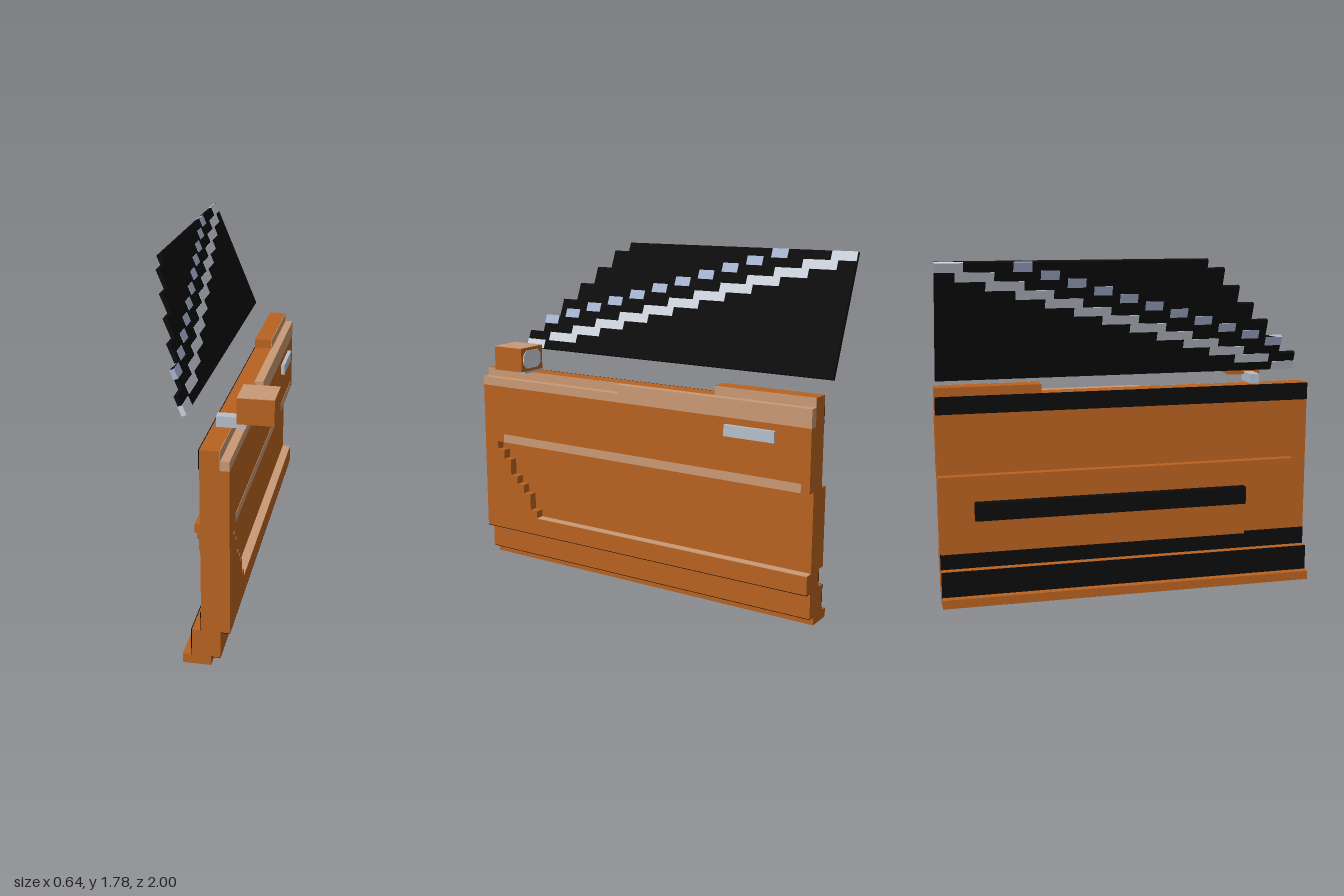
import * as THREE from 'three';

const mat = (name, color, extra = {}) => Object.assign(new THREE.MeshStandardMaterial({ color, ...extra }), { name });

export function createModel() {
  const orange = mat('orangePaint', 0xb86220);
  const pale = mat('paleHighlight', 0xc99a75);
  const black = mat('blackTrim', 0x0c0c0c);
  const silver = mat('silver', 0xb5bec9);
  const streak = mat('glassStreak', 0xccd3dd);
  const blue = mat('glassGlint', 0xa8b5d3);

  const door = new THREE.Group();
  door.name = 'carDoor';

  // Box given by its limits on each axis
  const box = (name, m, x0, x1, y0, y1, z0, z1, parent = door) => {
    const mesh = new THREE.Mesh(new THREE.BoxGeometry(x1 - x0, y1 - y0, z1 - z0), m);
    mesh.position.set((x0 + x1) / 2, (y0 + y1) / 2, (z0 + z1) / 2);
    mesh.name = name;
    parent.add(mesh);
    return mesh;
  };
  // Slab with a [z, y] outline, running from x0 to x1
  const slab = (name, m, outline, x0, x1, parent = door) => {
    const shape = new THREE.Shape(outline.map(([z, y]) => new THREE.Vector2(-z, y)));
    const geo = new THREE.ExtrudeGeometry(shape, { depth: x1 - x0, bevelEnabled: false });
    geo.rotateY(Math.PI / 2).translate(x0, 0, 0);
    const mesh = new THREE.Mesh(geo, m);
    mesh.name = name;
    parent.add(mesh);
    return mesh;
  };

  // Stepped front edge shared by the outer recess and the inner bulge
  const levels = [0.685, 0.64, 0.59, 0.5, 0.457, 0.41, 0.32, 0.277];
  const steps = [];
  for (let i = 0; i < 7; i++) {
    const z = 0.91 - i * 0.045;
    steps.push([z, levels[i]], [z, levels[i + 1]]);
  }

  // Door body: core, outer skin with open-ended recess, inner bulge
  box('doorCore', orange, 0.025, 0.115, 0.183, 1.092, -1, 1);
  slab('outerSkin', orange,
    [[-1, 1], [1, 1], [1, 0.183], [-1, 0.183], [-1, 0.277], ...steps.slice().reverse(), [-1, 0.685]],
    0.115, 0.16);
  slab('innerBulge', orange, [[-1, 0.685], ...steps, [-1, 0.277]], -0.02, 0.025);

  // Stepped sill
  box('upperSill', orange, -0.02, 0.115, 0.047, 0.183, -1, 1);
  box('lowerSill', orange, -0.065, 0.07, 0, 0.047, -1, 1);
  box('rearTopBlock', orange, 0.025, 0.115, 1.092, 1.138, -1, -0.457);

  // Pale shoulder and highlights
  box('frontShoulder', pale, 0.115, 0.16, 1, 1.046, 0.09, 1);
  box('rearShoulder', pale, 0.115, 0.16, 1, 1.092, -1, 0.09);
  box('shoulderFace', pale, 0.115, 0.118, 1.046, 1.092, 0.09, 1);
  box('rearTopFace', pale, 0.115, 0.118, 1.092, 1.138, -1, -0.457);
  box('beltHighlight', pale, 0.16, 0.162, 0.685, 0.73, -0.955, 0.865);
  box('recessLedge', pale, 0.115, 0.16, 0.277, 0.28, -1, 0.64);

  // Black trim on the inner side and undersides
  box('innerTopTrim', black, 0.022, 0.025, 1, 1.092, -1, 1);
  box('innerLowerTrim', black, 0.022, 0.025, 0.183, 0.277, -1, 1);
  box('innerSillTrim', black, -0.023, -0.02, 0.047, 0.183, -1, 1);
  box('skinUnderside', black, 0.115, 0.16, 0.18, 0.183, -1, 1);
  box('sillUnderside', black, 0.07, 0.115, 0.044, 0.047, -1, 1);
  for (const mesh of door.children.filter(c => c.name.startsWith('inner') && c.material === black)) mesh.position.x -= 0.001;
  box('armrest', black, -0.065, -0.02, 0.457, 0.55, -0.82, 0.63);

  // Handle
  box('handle', silver, 0.16, 0.18, 0.91, 0.967, -0.818, -0.545);

  // Side mirror
  const mirror = new THREE.Group();
  mirror.name = 'sideMirror';
  box('mirrorStalk', silver, 0.045, 0.185, 1.094, 1.146, 0.68, 0.73, mirror);
  box('mirrorHousing', orange, 0.148, 0.32, 1.13, 1.254, 0.59, 0.77, mirror);
  box('mirrorTop', pale, 0.148, 0.32, 1.254, 1.257, 0.59, 0.77, mirror);
  const face = [[0.19, 1.145], [0.28, 1.145], [0.305, 1.17], [0.305, 1.215], [0.28, 1.24], [0.19, 1.24], [0.165, 1.215], [0.165, 1.17]];
  const glassGeo = new THREE.ExtrudeGeometry(new THREE.Shape(face.map(p => new THREE.Vector2(...p))), { depth: 0.004, bevelEnabled: false });
  const mirrorGlass = new THREE.Mesh(glassGeo, streak);
  mirrorGlass.name = 'mirrorGlass';
  mirrorGlass.position.z = 0.586;
  mirror.add(mirrorGlass);
  door.add(mirror);

  // Tilted window, 13 rows tall, with a stepped front edge
  const glass = new THREE.Group();
  glass.name = 'window';
  const row = 0.0488;
  const edge = [[-1, 0], [0.865, 0]];
  for (let i = 0; i < 7; i++) {
    const z = 0.865 - i * 0.091, top = Math.min(13, 2 * i + 2) * row;
    edge.push([z, top]);
    if (i < 6) edge.push([z - 0.091, top]);
  }
  edge.push([-1, 13 * row]);
  slab('windowPane', black, edge, -0.01, 0.01, glass);

  // Diagonal reflections visible on both sides
  for (let k = 0; k < 13; k++) {
    const z = 0.866 - k * 0.1443;
    box('reflectionStreak', streak, -0.012, 0.012, k * row, (k + 1) * row, Math.max(-1, z - (k ? 0.185 : 0.12)), z, glass);
  }
  for (let j = 0; j < 11; j++) {
    const z = 0.777 - j * 0.132, y = (3 + j * 0.9) * row;
    box('reflectionGlint', blue, -0.012, 0.012, y, y + row, z - 0.09, z, glass);
  }
  glass.position.set(-0.07, 1.192, 0);
  glass.rotation.z = Math.PI / 8;
  door.add(glass);

  return door;
}
